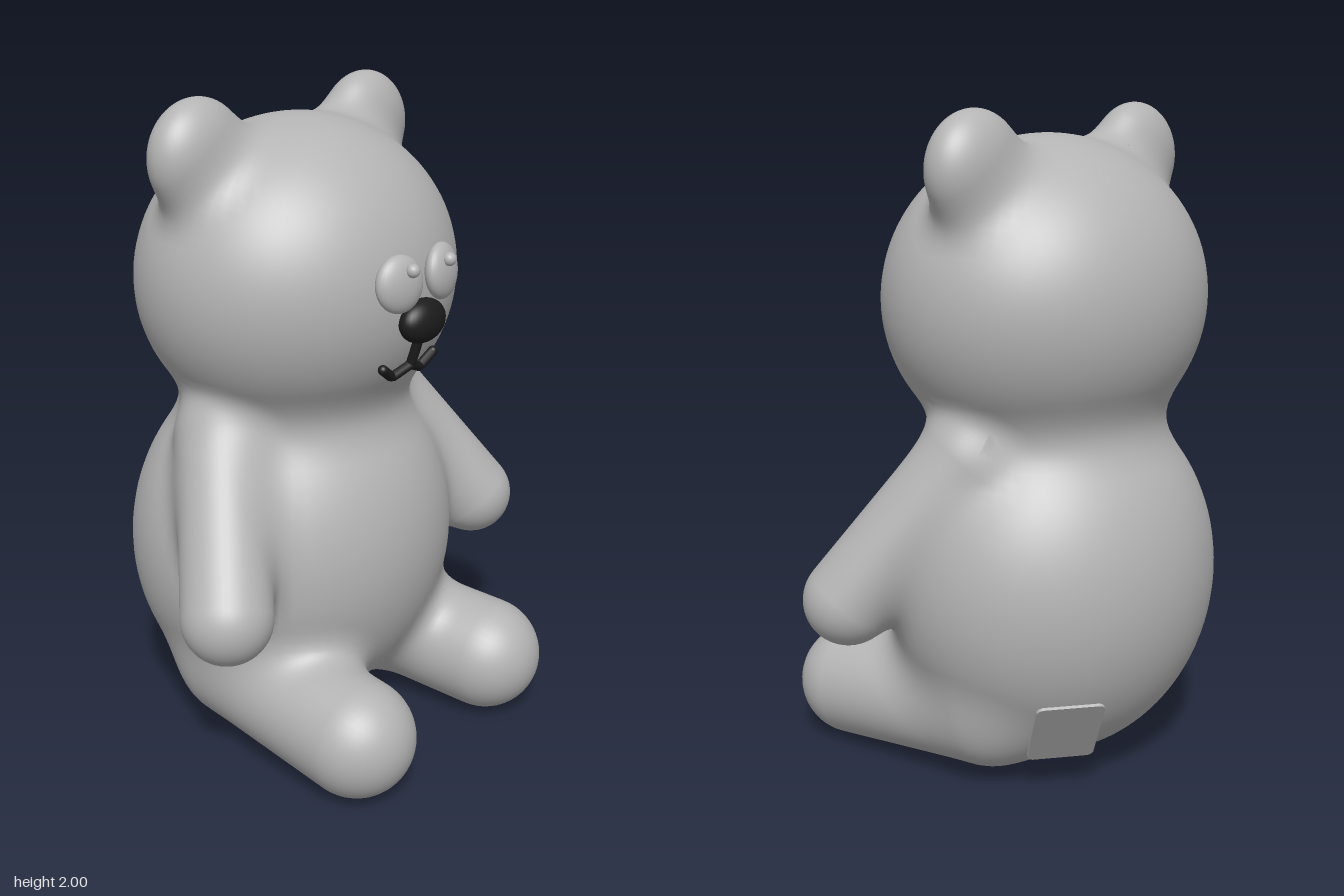
import * as THREE from 'three';
import { RoundedBoxGeometry } from 'three/addons/geometries/RoundedBoxGeometry.js';

const V = (x, y, z) => new THREE.Vector3(x, y, z);

// Plush parts: ellipsoids (centre, radii) and capsules (from, to, radius).
// "blend" is the width of the soft seam where the part joins the others.
const parts = [
  { name: 'torso', centre: V(0, 0.6, -0.115), radii: V(0.54, 0.58, 0.485), blend: 0 },
  { name: 'head', centre: V(0, 1.445, -0.09), radii: V(0.52, 0.475, 0.46), blend: 0.16 },
];
for (const [side, s] of [['left', 1], ['right', -1]]) {
  parts.push(
    { name: side + 'Ear', centre: V(s * 0.365, 1.835, -0.135), radii: V(0.165, 0.165, 0.105), blend: 0.1 },
    { name: side + 'Arm', from: V(s * 0.35, 1.01, -0.08), to: V(s * 0.595, 0.59, 0.165), radius: 0.135, blend: 0.09 },
    { name: side + 'Leg', from: V(s * 0.28, 0.22, -0.1), to: V(s * 0.33, 0.18, 0.427), radius: 0.178, blend: 0.11 },
  );
}

// Signed distance from a point to one part
function partDistance(part, p) {
  if (part.radii) {
    const q = p.clone().sub(part.centre).divide(part.radii);
    const k = q.length();
    return k * (k - 1) / Math.max(q.divide(part.radii).length(), 1e-6);
  }
  const axis = part.to.clone().sub(part.from);
  const rel = p.clone().sub(part.from);
  const t = THREE.MathUtils.clamp(rel.dot(axis) / axis.lengthSq(), 0, 1);
  return rel.addScaledVector(axis, -t).length() - part.radius;
}

// Signed distance to the whole softly joined skin
function skin(p) {
  let d = Infinity;
  for (const part of parts) {
    const e = partDistance(part, p);
    const h = part.blend ? Math.max(part.blend - Math.abs(d - e), 0) / part.blend : 0;
    d = Math.min(d, e) - h * h * part.blend / 4;
  }
  return d;
}

function skinNormal(p) {
  const e = 0.002;
  const slope = (x, y, z) => skin(V(p.x + x, p.y + y, p.z + z)) - skin(V(p.x - x, p.y - y, p.z - z));
  return V(slope(e, 0, 0), slope(0, e, 0), slope(0, 0, e)).normalize();
}

// Point on the front of the face
function facePoint(x, y, lift) {
  let z = 0.7;
  for (let i = 0; i < 40; i++) z -= skin(V(x, y, z)) * 0.8;
  return V(x, y, z + lift);
}

// Basic shape of a part, with its vertices drawn onto the joined skin
function plushGeometry(part) {
  let geo;
  if (part.radii) {
    geo = new THREE.SphereGeometry(1, 72, 54);
    geo.scale(...part.radii.toArray()).translate(...part.centre.toArray());
  } else {
    const axis = part.to.clone().sub(part.from);
    const mid = part.from.clone().add(part.to).multiplyScalar(0.5);
    geo = new THREE.CapsuleGeometry(part.radius, axis.length(), 14, 44, 28);
    geo.applyQuaternion(new THREE.Quaternion().setFromUnitVectors(V(0, 1, 0), axis.normalize()));
    geo.translate(...mid.toArray());
  }
  const pos = geo.attributes.position, nor = geo.attributes.normal;
  const p = V(0, 0, 0);
  for (let i = 0; i < pos.count; i++) {
    p.fromBufferAttribute(pos, i);
    if (skin(p) < -0.1) continue; // buried, stays inside
    for (let n = 0; n < 5; n++) p.addScaledVector(skinNormal(p), -skin(p));
    pos.setXYZ(i, p.x, p.y, p.z);
    nor.setXYZ(i, ...skinNormal(p).toArray());
  }
  return geo;
}

export function createModel() {
  const fur = new THREE.MeshStandardMaterial({ color: 0xb4b4b4 });
  fur.name = 'grey fur';
  const black = new THREE.MeshStandardMaterial({ color: 0x1c1c1c });
  black.name = 'black';

  const bear = new THREE.Group();
  bear.name = 'bear';
  const add = (name, geo, material) => {
    const mesh = new THREE.Mesh(geo, material);
    mesh.name = name;
    bear.add(mesh);
    return mesh;
  };
  const ball = (name, material, position, radii) => {
    const mesh = add(name, new THREE.SphereGeometry(1, 32, 24), material);
    mesh.position.copy(position);
    mesh.scale.copy(radii);
    return mesh;
  };

  for (const part of parts) add(part.name, plushGeometry(part), fur);

  // Eyes with small raised pupils
  for (const [side, s] of [['left', 1], ['right', -1]]) {
    const eye = ball(side + 'Eye', fur, V(s * 0.098, 1.505, 0.375), V(0.081, 0.083, 0.038));
    eye.rotation.set(-0.1, s * 0.22, 0);
    ball(side + 'Pupil', fur, V(s * 0.085, 1.547, 0.412), V(0.02, 0.02, 0.02));
  }

  // Nose and mouth
  ball('nose', black, V(0, 1.38, 0.385), V(0.09, 0.065, 0.05));
  const stroke = (name, points) => {
    const path = new THREE.CurvePath();
    const on = points.map(([x, y]) => facePoint(x, y, 0.022));
    for (let i = 1; i < on.length; i++) path.add(new THREE.LineCurve3(on[i - 1], on[i]));
    add(name, new THREE.TubeGeometry(path, 24, 0.015, 10), black);
    for (const end of [on[0], on[on.length - 1]]) ball(name + 'End', black, end, V(0.015, 0.015, 0.015));
  };
  stroke('lipLine', [[0, 1.35], [0, 1.24]]);
  stroke('mouth', [[-0.118, 1.25], [-0.065, 1.213], [0, 1.24], [0.065, 1.213], [0.118, 1.25]]);

  // Thin label plate on the back of the left hip
  const patch = add('patch', new RoundedBoxGeometry(0.2, 0.28, 0.009, 4, 0.004), fur);
  const outline = new THREE.Shape();
  const w = 0.1, h = 0.14, r = 0.022;
  outline.absarc(w - r, h - r, r, 0, Math.PI / 2);
  outline.absarc(r - w, h - r, r, Math.PI / 2, Math.PI);
  outline.absarc(r - w, r - h, r, Math.PI, Math.PI * 1.5);
  outline.absarc(w - r, r - h, r, Math.PI * 1.5, Math.PI * 2);
  patch.geometry = new THREE.ExtrudeGeometry(outline, { depth: 0.009, bevelEnabled: false });
  patch.position.set(0.285, 0.24, -0.4);
  const out = skinNormal(patch.position);
  patch.position.addScaledVector(out, 0.012 - skin(patch.position));
  patch.lookAt(patch.position.clone().add(out));

  return bear;
}
